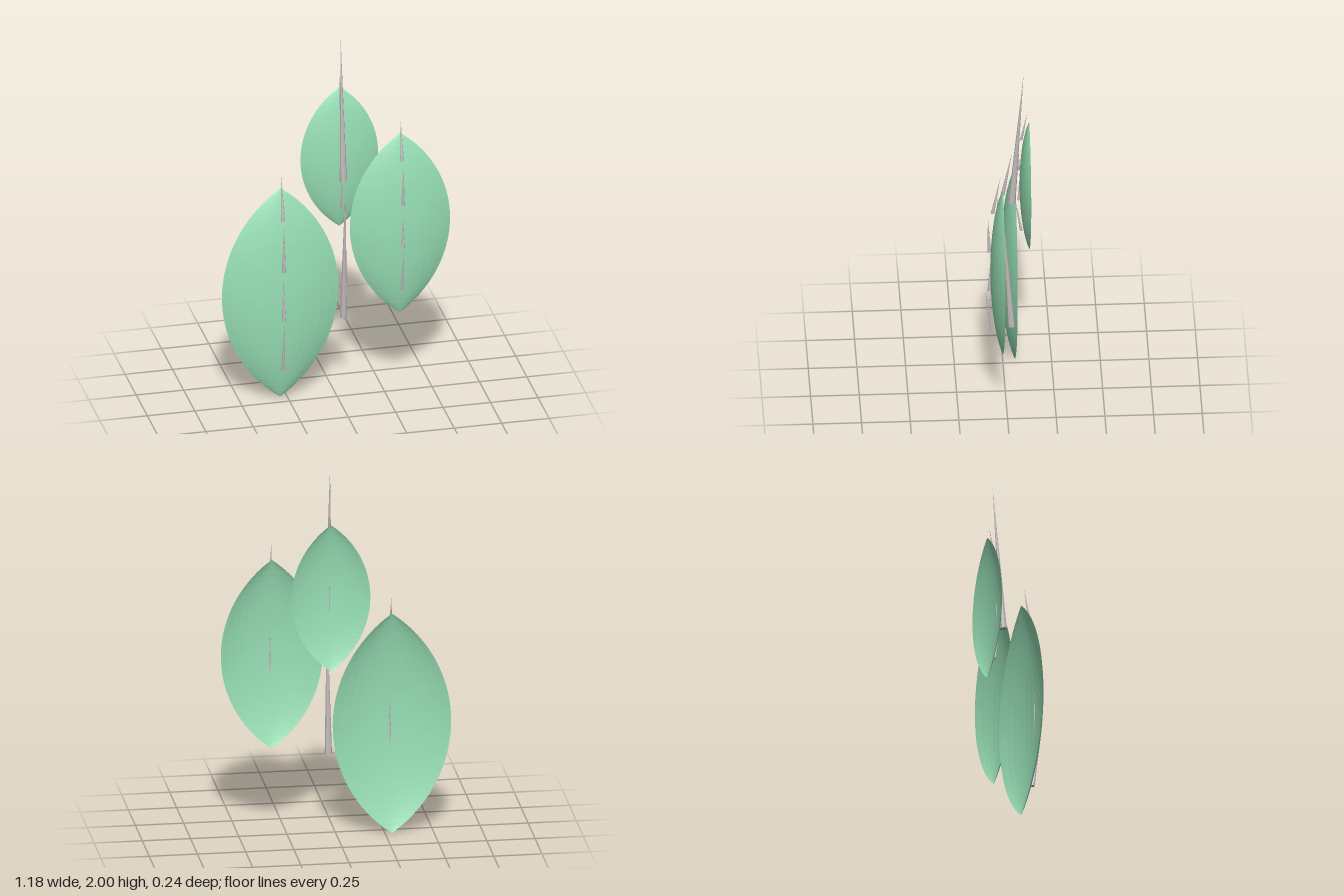
import * as THREE from 'three';

const leafGreen = new THREE.MeshStandardMaterial({ color: 0x98e0b6, flatShading: true, side: THREE.DoubleSide });
leafGreen.name = 'leafGreen';
const stemGrey = new THREE.MeshStandardMaterial({ color: 0xc2baba, flatShading: true });
stemGrey.name = 'stemGrey';

// Slim tapering spike in the plane of constant x, from [y, z] to [y, z]
function spike(name, x, [y0, z0], [y1, z1], radius) {
  const a = new THREE.Vector3(x, y0, z0);
  const b = new THREE.Vector3(x, y1, z1);
  const mesh = new THREE.Mesh(new THREE.ConeGeometry(radius, a.distanceTo(b), 8), stemGrey);
  mesh.name = name;
  mesh.position.copy(a).add(b).multiplyScalar(0.5);
  mesh.quaternion.setFromUnitVectors(new THREE.Vector3(0, 1, 0), b.sub(a).normalize());
  return mesh;
}

// Leaf blade of unit length: pointed oval outline, bulging towards +z
function bladeGeometry() {
  const geo = new THREE.PlaneGeometry(2, 1, 12, 32);
  const pos = geo.attributes.position;
  const halfWidth = 0.258, depth = 0.063;
  const r = (0.25 + halfWidth ** 2) / (2 * halfWidth);
  for (let i = 0; i < pos.count; i++) {
    const u = pos.getX(i), v = pos.getY(i);
    const w = Math.max(0, Math.sqrt(r * r - v * v) - (r - halfWidth));
    pos.setXYZ(i, u * w, v + 0.5, depth * (w / halfWidth) * (1 - u * u));
  }
  geo.computeVertexNormals();
  return geo;
}

// Midrib pieces along a unit leaf: base and tip as [y, z]
const RIBS = [
  [[0.15, 0.053], [0.395, 0.092]],
  [[0.392, 0.069], [0.592, 0.061]],
  [[0.628, 0.069], [0.845, 0.076]],
  [[0.864, 0.053], [1.08, 0.013]],
];

export function createModel() {
  const model = new THREE.Group();
  model.name = 'plant';

  // Leaves: name, x, base y, rim z, length
  const blade = bladeGeometry();
  const leaves = [
    ['lowerRightLeaf', -0.285, 0, -0.063, 1.19],
    ['middleLeftLeaf', 0.325, 0.457, 0.027, 1.023],
    ['upperBackLeaf', 0.04, 0.911, -0.122, 0.793],
  ];
  for (const [name, x, y, z, length] of leaves) {
    const leaf = new THREE.Group();
    leaf.name = name;
    const mesh = new THREE.Mesh(blade, leafGreen);
    mesh.name = 'leafBlade';
    leaf.add(mesh);
    for (const [base, tip] of RIBS) leaf.add(spike('midrib', 0, base, tip, 0.0092));
    leaf.position.set(x, y, z);
    leaf.scale.setScalar(length);
    model.add(leaf);
  }

  // Main stem in two tapering lengths
  model.add(spike('lowerStem', 0.04, [0.435, -0.03], [1.205, 0.02], 0.019));
  model.add(spike('upperStem', 0.04, [1.205, -0.032], [2.0, -0.092], 0.019));
  return model;
}
